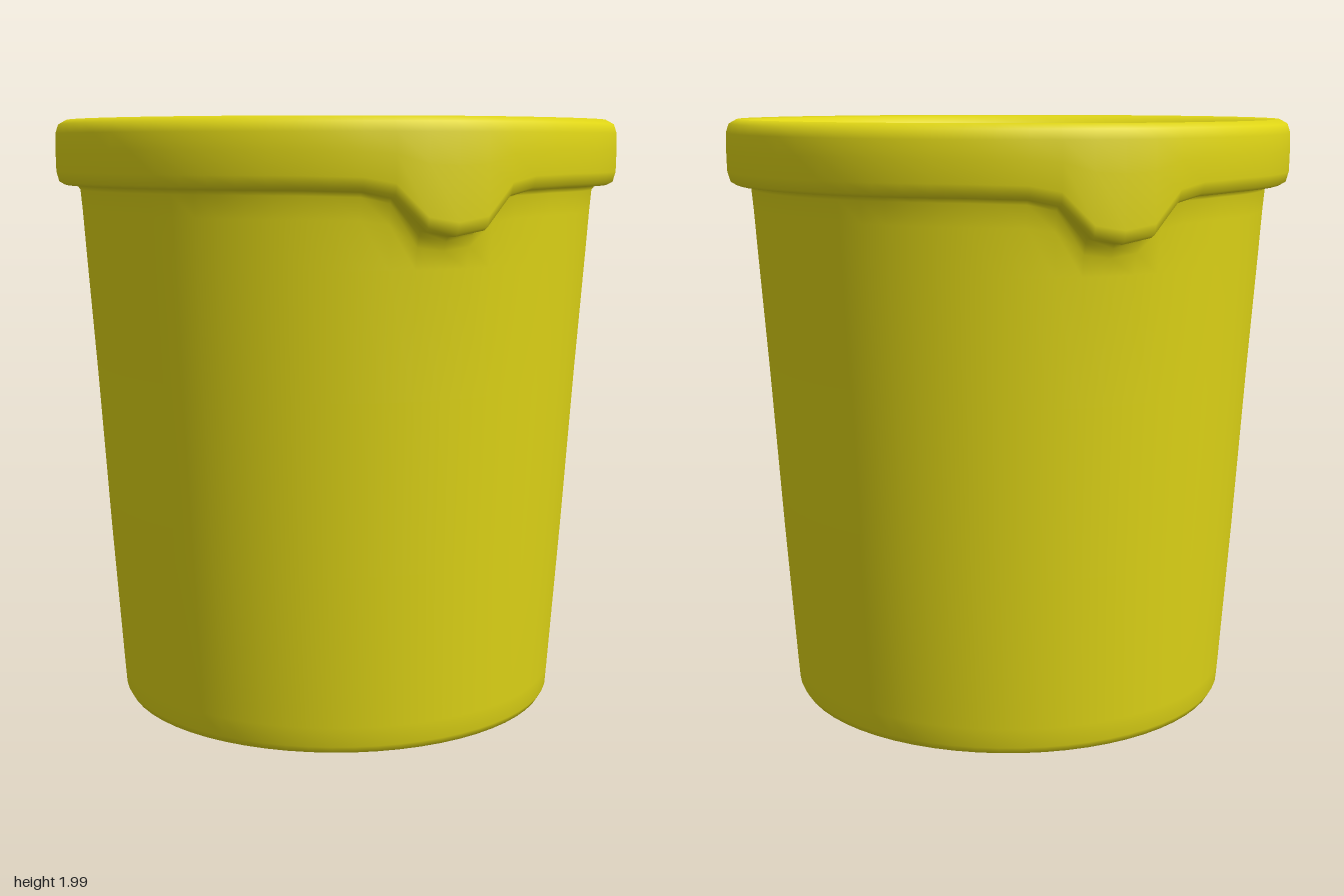
import * as THREE from 'three';
import { mergeVertices } from 'three/addons/utils/BufferGeometryUtils.js';

const SEGMENTS = 64;

// Profile from the base centre, up the outside and down the inside:
// [radius, height, droop weight, bulge weight] (the weights shape the two tabs)
const PROFILE = [
  [0, 0.008], [0.5, 0.008], [0.72, 0.008], [0.742, 0.012], [0.755, 0.035], [0.76, 0.1],
  [0.795, 0.6], [0.83, 1.15], [0.858, 1.55], [0.868, 1.7, 0.7, 0.2], [0.874, 1.77, 1, 0.5],
  [0.885, 1.785, 1, 0.6], [0.925, 1.787, 1, 1], [0.943, 1.797, 1, 1], [0.952, 1.83, 1, 1],
  [0.953, 1.9, 0.3, 1], [0.952, 1.955, 0, 1], [0.942, 1.985, 0, 1], [0.915, 2, 0, 0.7],
  [0.87, 1.995], [0.83, 1.975], [0.8, 1.93], [0.778, 1.85], [0.773, 1.79], [0.785, 1.74],
  [0.775, 1.55], [0.745, 1.1], [0.71, 0.6], [0.675, 0.14], [0.665, 0.11], [0.64, 0.1], [0.4, 0.1], [0, 0.1],
];

// Tab shape by angle away from the front or back: [angle, droop, bulge]
const TAB = [[0, 0.135, 0.021], [0.098, 0.118, 0.027], [0.196, 0.022, 0.015], [0.295, 0.004, 0.009], [0.5, 0, 0]];

function tabAt(angle) {
  for (let i = 1; i < TAB.length; i++) {
    if (angle <= TAB[i][0]) {
      const t = (angle - TAB[i - 1][0]) / (TAB[i][0] - TAB[i - 1][0]);
      return [1, 2].map((k) => THREE.MathUtils.lerp(TAB[i - 1][k], TAB[i][k], t));
    }
  }
  return [0, 0];
}

export function createModel() {
  const group = new THREE.Group();
  group.name = 'bucket';

  const geometry = new THREE.LatheGeometry(PROFILE.map(([r, y]) => new THREE.Vector2(r, y)), SEGMENTS);
  const pos = geometry.attributes.position;

  // Pull the rim down and outward into a rounded tab at the front and the back
  for (let i = 0; i < pos.count; i++) {
    const [r, y, droopWeight = 0, bulgeWeight = 0] = PROFILE[i % PROFILE.length];
    if (!droopWeight && !bulgeWeight) continue;
    const x = pos.getX(i), z = pos.getZ(i);
    const [droop, bulge] = tabAt(Math.atan2(Math.abs(x), Math.abs(z)));
    const scale = (r + bulge * bulgeWeight) / r;
    pos.setXYZ(i, x * scale, y - droop * droopWeight, z * scale);
  }

  // Weld the seam so the shading is smooth all round
  geometry.deleteAttribute('normal');
  geometry.deleteAttribute('uv');
  const welded = mergeVertices(geometry, 1e-5);
  welded.computeVertexNormals();

  const body = new THREE.Mesh(welded, new THREE.MeshStandardMaterial({ color: 0xe0d616 }));
  body.name = 'bucketBody';
  group.add(body);
  return group;
}
